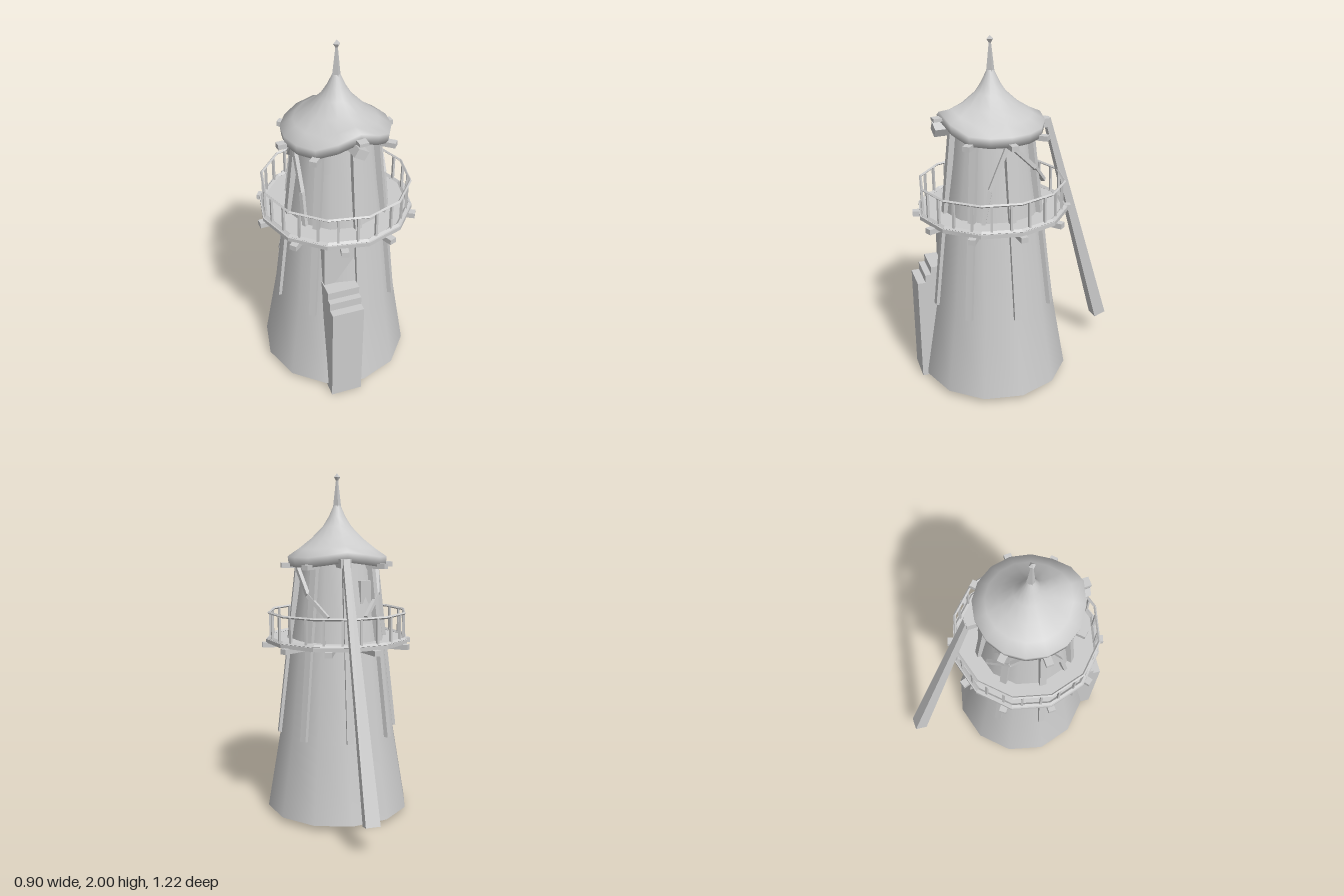
import * as THREE from 'three';

const smooth = new THREE.MeshStandardMaterial({ color: 0xcccccc, side: THREE.DoubleSide });
const flat = new THREE.MeshStandardMaterial({ color: 0xcccccc, flatShading: true });

// point on a circle about the tower axis; angle 0 is the front
const polar = (r, y, a) => new THREE.Vector3(r * Math.sin(a), y, r * Math.cos(a));
const v = (x, y, z) => new THREE.Vector3(x, y, z);

function lathe(name, profile, sides, material) {
  const points = profile.map(([r, y]) => new THREE.Vector2(r, y));
  const mesh = new THREE.Mesh(new THREE.LatheGeometry(points, sides), material);
  mesh.name = name;
  return mesh;
}

// timber from a to b; `out` is the direction its depth side faces, taper scales the far end
function beam(name, a, b, width, depth, out, taper = 1) {
  const dir = b.clone().sub(a);
  const geo = new THREE.BoxGeometry(width, dir.length(), depth);
  const pos = geo.attributes.position;
  for (let i = 0; i < pos.count; i++) {
    if (pos.getY(i) > 0) {
      pos.setX(i, pos.getX(i) * taper);
      pos.setZ(i, pos.getZ(i) * taper);
    }
  }
  const y = dir.normalize();
  const x = y.clone().cross(out).normalize();
  const z = x.clone().cross(y);
  geo.applyMatrix4(new THREE.Matrix4().makeBasis(x, y, z));
  const mesh = new THREE.Mesh(geo, flat);
  mesh.position.copy(a).add(b).multiplyScalar(0.5);
  mesh.name = name;
  return mesh;
}

function block(name, w, y0, y1, z0, z1) {
  const mesh = new THREE.Mesh(new THREE.BoxGeometry(w, y1 - y0, z1 - z0), flat);
  mesh.position.set(0, (y0 + y1) / 2, (z0 + z1) / 2);
  mesh.name = name;
  return mesh;
}

function ring(name, r, y, thickness) {
  const mesh = new THREE.Mesh(new THREE.TorusGeometry(r, thickness, 4, 12), flat);
  mesh.rotation.x = Math.PI / 2;
  mesh.position.y = y;
  mesh.name = name;
  return mesh;
}

function createRoof() {
  const profile = [[0.2, 1.5], [0.285, 1.475], [0.292, 1.53], [0.225, 1.575], [0.155, 1.63],
    [0.085, 1.7], [0.05, 1.755], [0.02, 1.82]];
  const roof = lathe('roof', profile, 16, smooth);
  // lift the eaves at the front and, less, at the back
  const pos = roof.geometry.attributes.position;
  for (let i = 0; i < pos.count; i++) {
    const x = pos.getX(i), z = pos.getZ(i), r = Math.hypot(x, z);
    const lift = (z > 0 ? 0.095 : 0.035) * Math.pow(Math.abs(z) / r, 8);
    pos.setY(i, pos.getY(i) + lift * Math.min(1, Math.pow(r / 0.29, 2)));
  }
  roof.geometry.computeVertexNormals();
  // average the normals across the lathe seam
  const n = roof.geometry.attributes.normal, rows = profile.length, last = 16 * rows;
  for (let j = 0; j < rows; j++) {
    const m = new THREE.Vector3().fromBufferAttribute(n, j)
      .add(new THREE.Vector3().fromBufferAttribute(n, last + j)).normalize();
    n.setXYZ(j, m.x, m.y, m.z);
    n.setXYZ(last + j, m.x, m.y, m.z);
  }
  return roof;
}

function createGallery() {
  const gallery = new THREE.Group();
  gallery.name = 'gallery';
  const deck = new THREE.Mesh(new THREE.CylinderGeometry(0.425, 0.425, 0.022, 12), flat);
  deck.position.y = 1.043;
  deck.name = 'galleryDeck';
  gallery.add(deck, ring('galleryCurb', 0.407, 1.056, 0.012), ring('handrail', 0.407, 1.207, 0.008));
  // balusters
  for (let i = 0; i < 24; i++) {
    const a = (i + 0.5) * Math.PI / 12;
    gallery.add(beam('baluster', polar(0.396, 1.05, a), polar(0.396, 1.207, a), 0.013, 0.013, polar(1, 0, a)));
  }
  // joists below the deck
  for (let i = 0; i < 10; i++) {
    const a = Math.PI / 2 + i * Math.PI / 5;
    gallery.add(beam('galleryJoist', polar(0.25, 1.02, a), polar(0.448, 1.02, a), 0.04, 0.03, v(0, 1, 0)));
  }
  return gallery;
}

function createStairs() {
  const stairs = new THREE.Group();
  stairs.name = 'entrance';
  stairs.add(
    block('lowerStep', 0.18, 0, 0.625, 0.28, 0.445),
    block('middleStep', 0.18, 0.3, 0.672, 0.24, 0.4),
    block('upperStep', 0.18, 0.3, 0.718, 0.2, 0.365),
    block('door', 0.17, 0.7, 1.02, 0.2, 0.29));
  stairs.rotation.y = -0.09;
  stairs.position.x = -0.08;
  return stairs;
}

export function createModel() {
  const model = new THREE.Group();
  model.name = 'windmillTower';
  const mill = new THREE.Group();
  mill.name = 'mill';
  mill.position.set(-0.007, 0, 0.167);
  model.add(mill);

  mill.add(lathe('towerWall', [[0.427, 0.03], [0.35, 0.48], [0.287, 1.0], [0.205, 1.54]], 12, smooth));
  mill.add(createRoof(), createGallery(), createStairs());

  // spire and knob
  mill.add(lathe('spire', [[0.024, 1.81], [0.007, 1.96], [0.019, 1.98], [0, 2]], 4, flat));

  // leaning posts and the brackets under the eaves
  for (let i = 0; i < 8; i++) {
    const a = i * Math.PI / 4, out = polar(1, 0, a);
    mill.add(beam('wallPost', polar(0.346, 0.49, a), polar(0.228, 1.5, a), 0.038, 0.032, out));
    if (i % 4) mill.add(beam('eavesBracket', polar(0.17, 1.48, a), polar(0.33, 1.48, a), 0.04, 0.028, v(0, 1, 0)));
  }

  // front and back cap beams
  mill.add(beam('frontCapBeam', v(-0.01, 1.53, 0.1), v(-0.01, 1.53, 0.325), 0.065, 0.05, v(0.5, 0.87, 0)));
  mill.add(beam('frontCapPlank', v(0, 1.59, 0.15), v(0, 1.585, 0.33), 0.05, 0.018, v(0, 1, 0)));
  mill.add(beam('backCapBeam', v(0.02, 1.5, -0.1), v(0.02, 1.505, -0.335), 0.06, 0.05, v(0, 1, 0)));

  // bent braces on both sides, from the side brackets down to the gallery
  for (const s of [-1, 1]) {
    const back = [polar(0.24, 1.48, s * 1.57), polar(0.262, 1.32, s * 2.25), polar(0.288, 1.2, s * 2.75)];
    const front = [polar(0.24, 1.48, s * 1.57), polar(0.265, 1.24, s * 1.15), polar(0.285, 1.05, s * 1.02)];
    for (const path of [back, front]) {
      for (let k = 0; k < 2; k++) {
        const out = v(path[k].x + path[k + 1].x, 0, path[k].z + path[k + 1].z);
        mill.add(beam('brace', path[k], path[k + 1], 0.022, 0.022, out));
      }
    }
  }

  // small window at the back, above the gallery
  const shutter = block('backWindow', 0.08, 1.27, 1.4, 0.15, 0.24);
  const holder = new THREE.Group();
  holder.name = 'backWindowFrame';
  holder.rotation.y = -2.6;
  holder.add(shutter);
  mill.add(holder);

  // tail pole reaching down behind the mill
  mill.add(beam('tailPole', v(-0.028, 0.16, -0.735), v(0.02, 1.525, -0.325), 0.08, 0.075, v(0, 0, -1), 0.45));

  return model;
}
